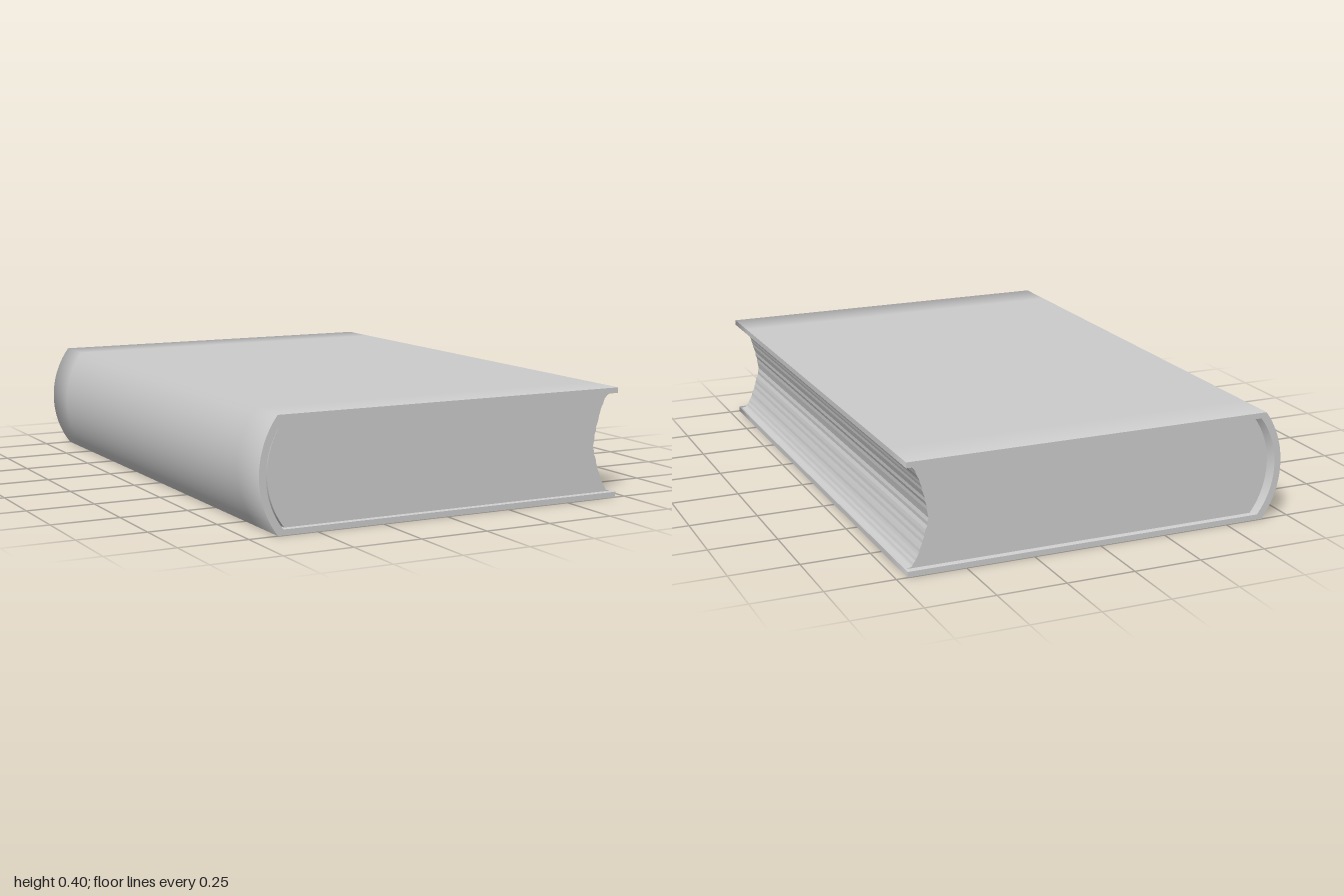
import * as THREE from 'three';
import { toCreasedNormals } from 'three/addons/utils/BufferGeometryUtils.js';

const MID = 0.2; // half the height of the closed book

// Points of a circular arc bulging toward -x, from the top end to the bottom end
function spineArc(xEnd, bulge, halfHeight, segments = 20) {
  const r = (halfHeight ** 2 + bulge ** 2) / (2 * bulge);
  const cx = xEnd - bulge + r;
  const a = Math.asin(halfHeight / r);
  return Array.from({ length: segments + 1 }, (_, i) => {
    const t = a - (2 * a * i) / segments;
    return new THREE.Vector2(cx - r * Math.cos(t), MID + r * Math.sin(t));
  });
}

function extrudeAlongZ(points, depth, steps, crease) {
  const geometry = new THREE.ExtrudeGeometry(new THREE.Shape(points), { depth, steps, bevelEnabled: false });
  geometry.translate(0, 0, -depth / 2);
  return toCreasedNormals(geometry, crease);
}

// Lean the normals of the long faces outward at both ends for a softly rounded look
function softenEnds(geometry, zEnd) {
  const { position, normal } = geometry.attributes;
  const n = new THREE.Vector3();
  for (let i = 0; i < position.count; i++) {
    n.fromBufferAttribute(normal, i);
    const z = position.getZ(i);
    if (Math.abs(n.z) > 0.5 || Math.abs(z) < zEnd - 0.001) continue;
    n.z = Math.sign(z) * 0.8;
    n.normalize();
    normal.setXYZ(i, n.x, n.y, n.z);
  }
  return geometry;
}

export function createModel() {
  const book = new THREE.Group();
  book.name = 'book';
  const material = new THREE.MeshStandardMaterial({ color: 0xcccccc });
  const add = (name, geometry) => {
    const mesh = new THREE.Mesh(geometry, material);
    mesh.name = name;
    book.add(mesh);
  };

  // Cover: two boards joined by a rounded spine, one C-shaped section
  const coverSection = [
    new THREE.Vector2(0.71, 0.4),
    ...spineArc(-0.645, 0.068, 0.2),
    new THREE.Vector2(0.71, 0),
    new THREE.Vector2(0.71, 0.02),
    ...spineArc(-0.625, 0.063, 0.18).reverse(),
    new THREE.Vector2(0.71, 0.38),
  ];
  add('cover', softenEnds(extrudeAlongZ(coverSection, 2, 12, 0.8), 1));

  // Page block: rounded back, hollow fore edge with fine uneven ridges
  const foreEdge = new THREE.SplineCurve([
    [0.705, 0.02], [0.683, 0.03], [0.66, 0.072], [0.642, 0.125], [0.626, 0.188],
    [0.638, 0.26], [0.655, 0.32], [0.676, 0.365], [0.705, 0.38],
  ].map(([x, y]) => new THREE.Vector2(x, y))).getPoints(40);
  foreEdge.forEach((p, i) => {
    if (i > 3 && i < 37) p.x += 0.0015 * Math.sin(i * 2.4 + Math.sin(i * 5.1));
  });
  const pageSection = [...spineArc(-0.61, 0.062, 0.18), ...foreEdge];
  add('pages', extrudeAlongZ(pageSection, 1.95, 1, 0.1));

  return book;
}
